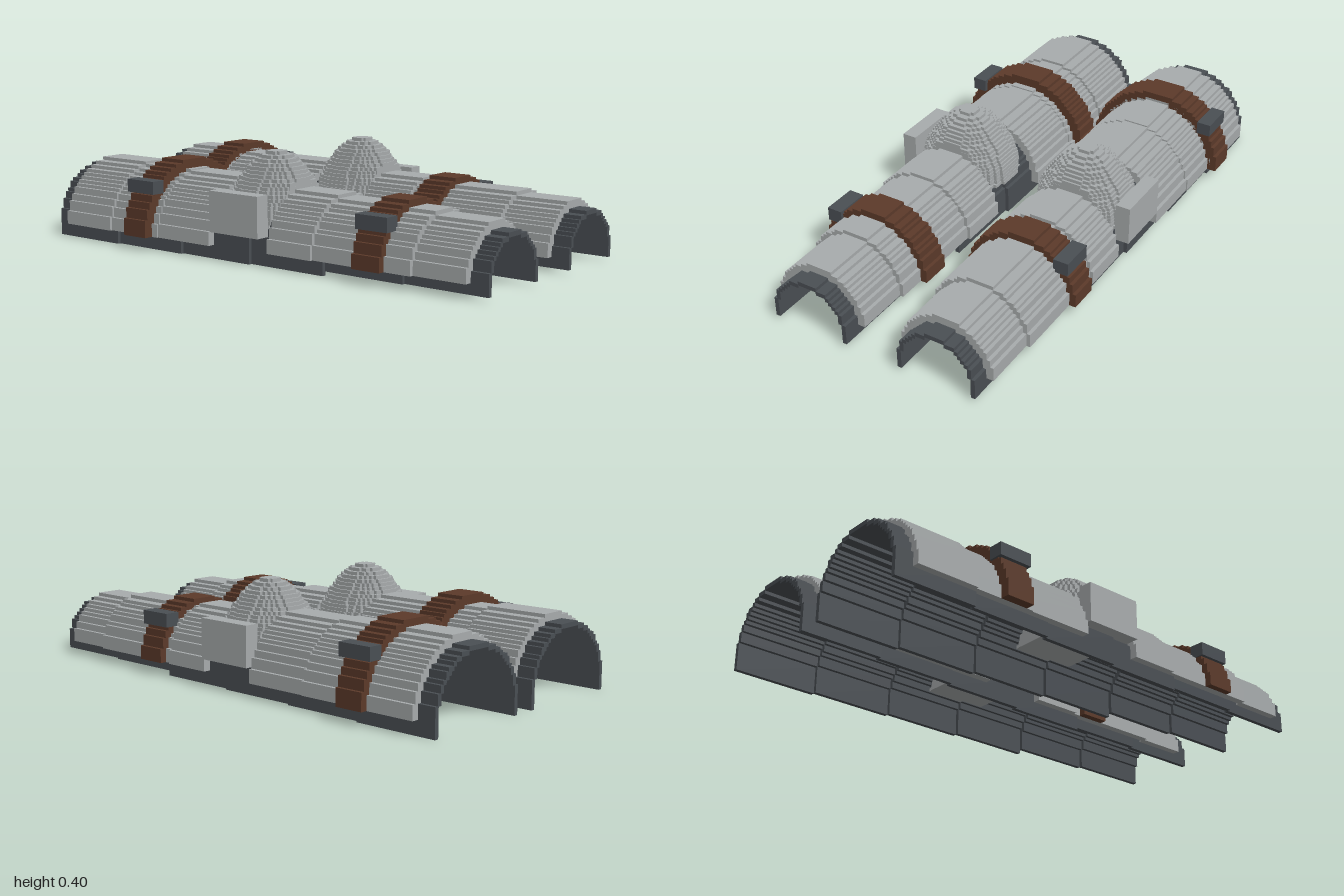
import * as THREE from 'three';
import { mergeGeometries } from 'three/addons/utils/BufferGeometryUtils.js';

const steel = new THREE.MeshStandardMaterial({ color: 0xa8acad });
steel.name = 'steel';
const iron = new THREE.MeshStandardMaterial({ color: 0x4a4f54 });
iron.name = 'dark iron';
const leather = new THREE.MeshStandardMaterial({ color: 0x5c3a2a });
leather.name = 'brown leather';

const STEP = 0.0131; // height of one block course
const AXIS_Y = 0.055; // height of the arch centres
const AXIS_Z = 0.267; // distance of each arch from the middle

// Staircase quarter circle, from (r, 0) up to (0, r), optionally limited in width
function quarter(r, limit = Infinity) {
  const n = Math.max(1, Math.round(r / STEP)), v = r / n, pts = [];
  let last = -1;
  for (let k = 0; k < n; k++) {
    const exact = Math.sqrt(r * r - ((k + 0.5) * v) ** 2);
    const x = Math.min(limit, Math.max(1, Math.round(exact / v)) * v);
    if (Math.abs(x - last) < 1e-6) pts.pop();
    else pts.push([x, k * v]);
    pts.push([x, (k + 1) * v]);
    last = x;
  }
  return pts;
}

// Half circle from +x over the top to -x
function half(r, limit) {
  const q = quarter(r, limit);
  return [...q, ...q.map(([x, y]) => [-x, y]).reverse()];
}

const toShape = pts => new THREE.Shape(pts.map(([x, y]) => new THREE.Vector2(x, y)));

// Stepped arch shell running along x from x0 to x1; drop lengthens its legs
function arch(name, material, x0, x1, r, thickness, drop = 0) {
  const legs = pts => pts.map(([x, y]) => [x, y === 0 ? -drop : y]);
  const outline = [...legs(half(r)), ...legs(half(r - thickness)).reverse()];
  const geo = new THREE.ExtrudeGeometry(toShape(outline), { depth: x1 - x0, bevelEnabled: false });
  geo.rotateY(Math.PI / 2);
  const mesh = new THREE.Mesh(geo, material);
  mesh.name = name;
  mesh.position.set(x0, AXIS_Y, 0);
  return mesh;
}

function box(name, material, x0, x1, y0, y1, z0, z1) {
  const mesh = new THREE.Mesh(new THREE.BoxGeometry(x1 - x0, y1 - y0, z1 - z0), material);
  mesh.name = name;
  mesh.position.set((x0 + x1) / 2, (y0 + y1) / 2, (z0 + z1) / 2);
  return mesh;
}

// Knee cap: stacked stepped discs, cut flat at both x sides
function kneeCap() {
  const profile = [[0.135, 0.192], [0.2, 0.185], [0.24, 0.17], [0.27, 0.155], [0.31, 0.126],
    [0.34, 0.105], [0.36, 0.088], [0.385, 0.052], [0.4, 0.02]];
  const radiusAt = y => {
    const i = Math.max(1, profile.findIndex(p => p[0] >= y));
    const [y0, r0] = profile[i - 1], [y1, r1] = profile[i];
    return r0 + (r1 - r0) * (y - y0) / (y1 - y0);
  };
  const layers = 20, h = (0.4 - 0.135) / layers, parts = [];
  for (let i = 0; i < layers; i++) {
    const y = 0.135 + i * h;
    const top = half(radiusAt(y + h / 2), 0.13);
    const bottom = top.map(([x, z]) => [-x, -z]);
    const disc = [...top.slice(0, -1), ...bottom.slice(0, -1)];
    const geo = new THREE.ExtrudeGeometry(toShape(disc), { depth: h, bevelEnabled: false });
    geo.rotateX(-Math.PI / 2);
    geo.translate(-0.035, y, 0);
    parts.push(geo);
  }
  const mesh = new THREE.Mesh(mergeGeometries(parts), steel);
  mesh.name = 'kneeCap';
  return mesh;
}

// One leg guard; side is +1 or -1 and gives the outer direction along z
function legGuard(name, side, thighStrapX, shinStrapX, plateBreak) {
  const leg = new THREE.Group();
  leg.name = name;
  leg.position.z = side * AXIS_Z;

  // Tapering inner lining
  [0.225, 0.212, 0.199, 0.185, 0.171, 0.158].forEach((r, i) => {
    const x0 = -1 + i / 3;
    leg.add(arch('lining', iron, x0, x0 + 1 / 3, r, 0.017, i < 4 ? 0.055 : 0.04));
  });

  // Overlapping steel plates
  [
    ['thighPlate', -0.93, plateBreak, 0.253],
    ['thighPlate', plateBreak, -0.43, 0.243],
    ['thighPlate', -0.43, -0.165, 0.238],
    ['shinPlate', 0.1, 0.3, 0.215],
    ['shinPlate', 0.3, 0.72, 0.202],
    ['shinPlate', 0.72, 0.93, 0.187],
  ].forEach(([n, x0, x1, r]) => leg.add(arch(n, steel, x0, x1, r, 0.03)));

  // Knee cap and its outer side guard
  leg.add(kneeCap());
  const sideBox = (n, m, x0, x1, y0, y1, z0, z1) =>
    leg.add(box(n, m, x0, x1, y0, y1, Math.min(side * z0, side * z1), Math.max(side * z0, side * z1)));
  sideBox('kneeSideGuard', steel, -0.155, 0.08, 0.11, 0.265, 0.185, 0.243);

  // Straps with buckles
  leg.add(arch('thighStrap', leather, thighStrapX, thighStrapX + 0.115, 0.279, 0.036));
  sideBox('thighBuckle', iron, thighStrapX - 0.008, thighStrapX + 0.13, 0.22, 0.27, 0.19, 0.247);
  leg.add(arch('shinStrap', leather, shinStrapX, shinStrapX + 0.118, 0.228, 0.028));
  sideBox('shinBuckle', iron, shinStrapX - 0.005, shinStrapX + 0.13, 0.19, 0.243, 0.14, 0.2);
  return leg;
}

export function createModel() {
  const model = new THREE.Group();
  model.name = 'legArmor';
  model.add(legGuard('frontLegGuard', 1, -0.573, 0.492, -0.68));
  model.add(legGuard('rearLegGuard', -1, -0.735, 0.332, -0.62));
  return model;
}
